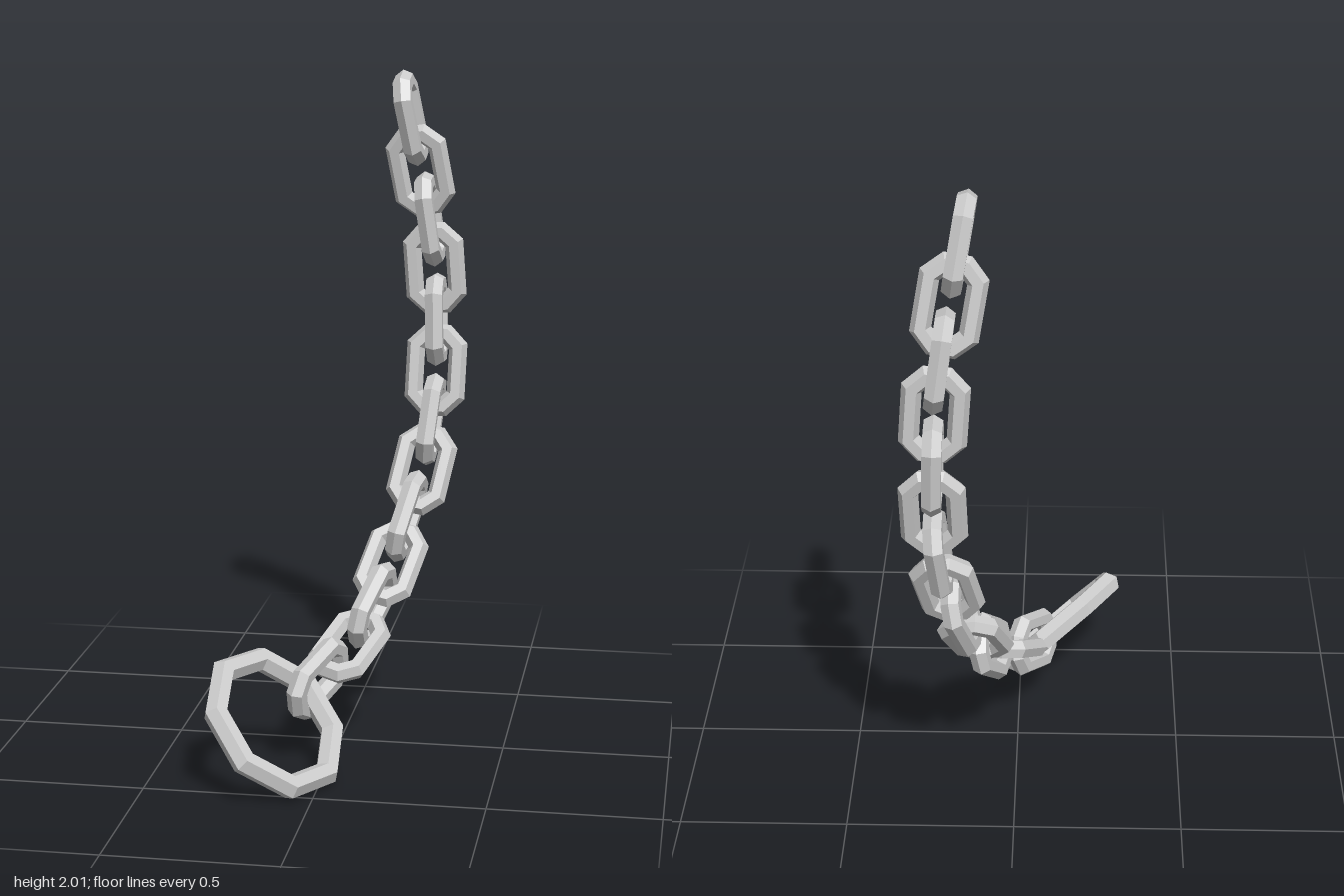
import * as THREE from 'three';

// Link centres from the hanging end down to the ring; first and last only steer direction
const path = [
  [0.115, 2.03, -0.405],
  [0.145, 1.865, -0.453], [0.172, 1.70, -0.488], [0.20, 1.546, -0.509],
  [0.215, 1.39, -0.522], [0.223, 1.228, -0.515], [0.225, 1.07, -0.491],
  [0.215, 0.918, -0.456], [0.194, 0.77, -0.398], [0.158, 0.635, -0.322],
  [0.12, 0.504, -0.235], [0.08, 0.402, -0.12], [0.03, 0.313, 0.016],
  [-0.043, 0.25, 0.155],
  [-0.10, 0.20, 0.30],
].map((p) => new THREE.Vector3(...p));

// Eight-sided loop of hexagonal bar, its two halves pulled apart along y
function linkGeometry() {
  const geo = new THREE.TorusGeometry(0.072, 0.031, 6, 8);
  geo.rotateZ(Math.PI / 8);
  const pos = geo.attributes.position;
  for (let i = 0; i < pos.count; i++) {
    pos.setY(i, pos.getY(i) + Math.sign(pos.getY(i)) * 0.049);
  }
  geo.computeVertexNormals();
  return geo;
}

// Turns a mesh so its local y follows `along` and its local z follows `normal`
function orient(mesh, along, normal) {
  const side = new THREE.Vector3().crossVectors(along, normal);
  mesh.quaternion.setFromRotationMatrix(new THREE.Matrix4().makeBasis(side, along, normal));
}

export function createModel() {
  const group = new THREE.Group();
  group.name = 'chain';
  const metal = new THREE.MeshStandardMaterial({ color: 0xcccccc, flatShading: true });

  // Chain links, each turned a quarter from its neighbour
  const geo = linkGeometry();
  for (let i = 1; i < path.length - 1; i++) {
    const along = path[i + 1].clone().sub(path[i - 1]).normalize();
    const across = new THREE.Vector3(1, 0, 0).addScaledVector(along, -along.x).normalize();
    const normal = i % 2 ? across : new THREE.Vector3().crossVectors(across, along);
    const link = new THREE.Mesh(geo, metal);
    link.name = 'link' + i;
    link.position.copy(path[i]);
    orient(link, along, normal);
    group.add(link);
  }

  // Large end ring, leaning on the ground
  const ring = new THREE.Mesh(new THREE.TorusGeometry(0.212, 0.037, 6, 8), metal);
  ring.name = 'endRing';
  ring.position.set(-0.132, 0.187, 0.38);
  const normal = new THREE.Vector3(0.65, 0.67, 0.36).normalize();
  const along = new THREE.Vector3(-0.72, 0.70, 0);
  along.addScaledVector(normal, -along.dot(normal)).normalize();
  orient(ring, along, normal);
  group.add(ring);

  return group;
}
